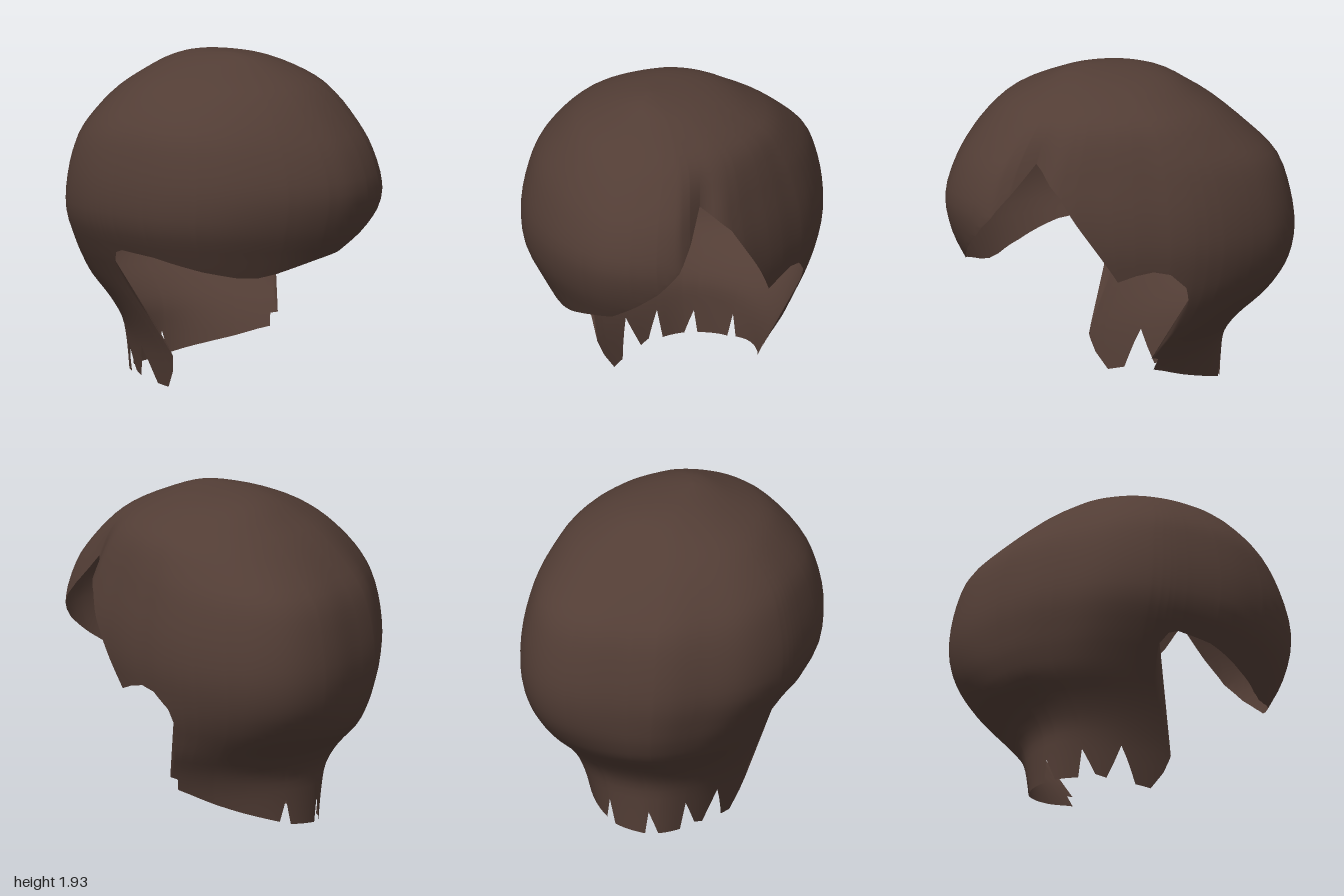
import * as THREE from 'three';

const { lerp, smoothstep, clamp, degToRad } = THREE.MathUtils;

// Horizontal sections from crown to nape: y, xMin, xMax, xCentre, zMax, zMin, zCentre
const SECTIONS = [
  [1.935, -0.04, -0.04, -0.04, 0.12, 0.12, 0.12],
  [1.92, -0.14, 0.1, -0.03, 0.26, -0.12, 0.08],
  [1.88, -0.28, 0.27, 0, 0.39, -0.29, 0.05],
  [1.8, -0.46, 0.46, 0, 0.56, -0.45, 0.03],
  [1.7, -0.59, 0.61, 0, 0.7, -0.61, 0],
  [1.55, -0.72, 0.7, 0, 0.84, -0.78, 0],
  [1.4, -0.78, 0.755, 0, 0.94, -0.91, 0],
  [1.2, -0.815, 0.8, 0, 1, -0.975, 0],
  [1.0, -0.8, 0.81, 0, 0.96, -1, 0],
  [0.82, -0.71, 0.78, 0, 0.87, -0.975, 0],
  [0.7, -0.64, 0.75, 0, 0.8, -0.93, 0],
  [0.6, -0.585, 0.715, 0, 0.75, -0.865, 0.01],
  [0.48, -0.53, 0.67, 0, 0.7, -0.735, 0.045],
  [0.35, -0.48, 0.6, 0, 0.68, -0.65, 0.115],
  [0.2, -0.43, 0.54, 0, 0.68, -0.635, 0.2],
  [0.0, -0.37, 0.48, 0, 0.68, -0.63, 0.2],
];

// Widest outline seen from above: degrees from +z toward +x, radius
const OUTLINE = [
  [0, 0.99], [18, 0.987], [26, 0.96], [32, 0.905], [37, 0.87], [46, 0.835], [53, 0.805],
  [67, 0.768], [88, 0.78], [100, 0.824], [116, 0.894], [129, 0.96], [141, 1.03], [152, 1.06],
  [165, 1.033], [180, 0.97], [196, 0.945], [210, 0.897], [227, 0.885], [241, 0.86],
  [266, 0.812], [291, 0.826], [309, 0.853], [326, 0.885], [341, 0.93], [354, 0.975], [360, 0.99],
];

// Height of the lower edge around the head: degrees, y
const HEM = [
  // swept fringe up to the parting, then the left temple
  [0, 0.85], [8, 0.94], [17.5, 1.06], [25.5, 1.19], [30.5, 1.33], [35.5, 1.5], [42, 1.43],
  [50, 1.33], [56, 1.2], [73, 0.83], [82, 0.87], [90, 0.89], [97, 0.87], [104, 0.78], [106, 0.7],
  // jagged nape
  [106.5, 0.32], [111, 0.31], [112, 0.24], [118, 0.22], [130, 0.17], [141, 0.13], [159, 0.07],
  [163, 0.2], [165, 0.05], [184, 0.03], [186, 0.17], [193, 0.03], [207, 0.03], [208, 0.2],
  [216, 0.05], [222, 0.03], [228, 0.22], [237, 0.01], [245, 0], [250, 0.1], [252.8, 0.2],
  // right side and underside of the fringe
  [253.2, 0.76], [256, 0.82], [260, 0.84], [277, 0.82], [301, 0.75], [318, 0.715],
  [327, 0.715], [335, 0.74], [350, 0.81], [360, 0.85],
];

const spline = (a, b, c, d, f) =>
  b + 0.5 * f * (c - a + f * (2 * a - 5 * b + 4 * c - d + f * (3 * (b - c) + d - a)));

// Section values at fractional index t
function sectionAt(t) {
  const last = SECTIONS.length - 1;
  const i = Math.min(Math.floor(t), last - 1);
  const at = (k) => SECTIONS[clamp(k, 0, last)];
  return SECTIONS[0].map((_, n) => spline(at(i - 1)[n], at(i)[n], at(i + 1)[n], at(i + 2)[n], t - i));
}

// Smooth closed interpolation of the outline radius
function radiusAt(u) {
  const n = OUTLINE.length - 1;
  const at = (k) => {
    const turn = Math.floor(k / n);
    const p = OUTLINE[k - turn * n];
    return [p[0] + turn * 360, p[1]];
  };
  let i = 0;
  while (i < n - 1 && OUTLINE[i + 1][0] <= u) i++;
  const [a, b, c, d] = [at(i - 1), at(i), at(i + 1), at(i + 2)];
  const h = c[0] - b[0], f = (u - b[0]) / h;
  const m0 = (c[1] - a[1]) / (c[0] - a[0]) * h, m1 = (d[1] - b[1]) / (d[0] - b[0]) * h;
  const f2 = f * f, f3 = f2 * f;
  return b[1] * (2 * f3 - 3 * f2 + 1) + m0 * (f3 - 2 * f2 + f) + c[1] * (3 * f2 - 2 * f3) + m1 * (f3 - f2);
}

function hemAt(u) {
  let i = 0;
  while (i < HEM.length - 2 && HEM[i + 1][0] <= u) i++;
  const [a, b] = [HEM[i], HEM[i + 1]];
  return lerp(a[1], b[1], (u - a[0]) / (b[0] - a[0]));
}

// Fractional section index at height y
function indexOfHeight(y) {
  let lo = 0, hi = SECTIONS.length - 1;
  for (let k = 0; k < 30; k++) {
    const mid = (lo + hi) / 2;
    if (sectionAt(mid)[0] > y) lo = mid; else hi = mid;
  }
  return hi;
}

// Point on the hair: the outline rounds off to an oval at crown and nape
function surfacePoint(u, t) {
  const [y, xMin, xMax, cx, zMax, zMin, cz] = sectionAt(t);
  const a = degToRad(u), s = Math.sin(a), c = Math.cos(a);
  const oval = 1 / Math.hypot(s / 0.815, c);
  const round = 0.65 * smoothstep(y, 1.4, 1.8) + 0.7 * (1 - smoothstep(y, 0.4, 0.9));
  // crease running up from the parting, and a crown leaning to the back left
  const crease = 0.06 * Math.exp(-(((u - 37) / 6) ** 2)) * (1 - smoothstep(y, 1.45, 1.75));
  const lean = 0.1 * Math.cos(degToRad(u - 145)) * smoothstep(y, 1.75, 1.92);
  const r = lerp(radiusAt(u), oval, round) * (1 - crease + lean);
  const ox = r * s / 0.815, oz = r * c;
  return [
    cx + (ox > 0 ? ox * (xMax - cx) : ox * (cx - xMin)),
    y,
    cz + (oz > 0 ? oz * (zMax - cz) : oz * (cz - zMin)),
  ];
}

function hairGeometry() {
  // columns fall on every hem corner plus regular steps
  const angles = new Set(HEM.map((p) => p[0]));
  for (let u = 0; u < 360; u += 3) angles.add(u);
  angles.delete(360);
  const columns = [...angles].sort((a, b) => a - b);
  const rows = (SECTIONS.length - 1) * 3;
  const pos = [...surfacePoint(0, 0)], index = [], ends = [];
  for (const u of columns) {
    const end = indexOfHeight(hemAt(u));
    ends.push(end);
    for (let j = 1; j <= rows; j++) pos.push(...surfacePoint(u, Math.min(j / 3, end)));
  }
  // rows past the hem collapse onto its edge
  const id = (i, j) => {
    const col = i % columns.length;
    const k = Math.min(j, Math.ceil(ends[col] * 3));
    return k === 0 ? 0 : 1 + col * rows + k - 1;
  };
  const face = (a, b, c) => { if (a !== b && b !== c && a !== c) index.push(a, b, c); };
  for (let i = 0; i < columns.length; i++) {
    for (let j = 0; j < rows; j++) {
      face(id(i, j), id(i, j + 1), id(i + 1, j + 1));
      face(id(i, j), id(i + 1, j + 1), id(i + 1, j));
    }
  }
  const geo = new THREE.BufferGeometry();
  geo.setAttribute('position', new THREE.Float32BufferAttribute(pos, 3));
  geo.setIndex(index);
  geo.computeVertexNormals();
  return geo;
}

export function createModel() {
  const group = new THREE.Group();
  group.name = 'hairstyle';
  const brown = new THREE.MeshStandardMaterial({ color: 0x523d35, side: THREE.DoubleSide });
  brown.name = 'dark brown hair';
  const hair = new THREE.Mesh(hairGeometry(), brown);
  hair.name = 'hairShell';
  group.add(hair);
  return group;
}
